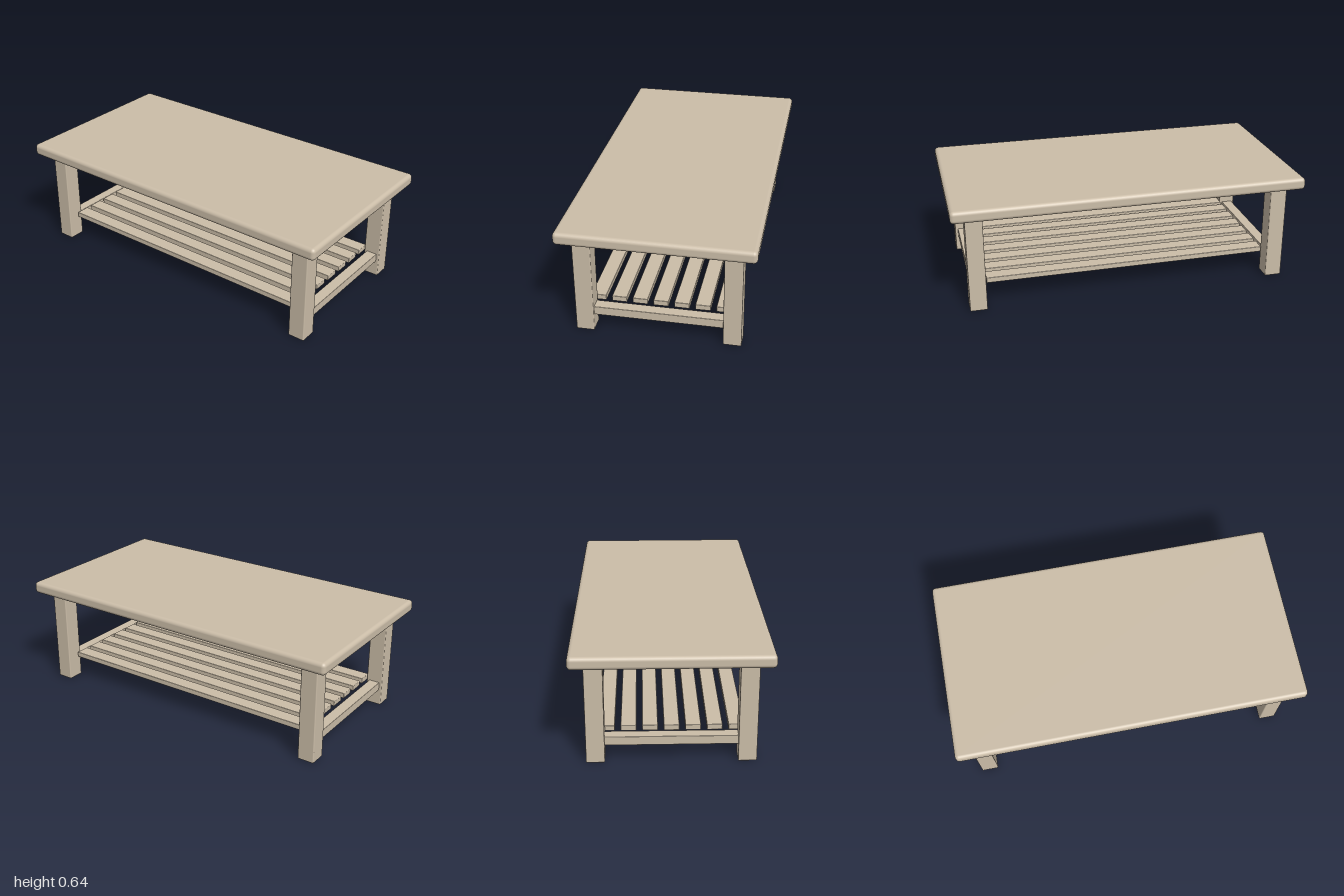
import * as THREE from 'three';
import { RoundedBoxGeometry } from 'three/addons/geometries/RoundedBoxGeometry.js';

export function createModel() {
  const group = new THREE.Group();
  const wood = new THREE.MeshStandardMaterial({ color: 0xcbbda8 });
  wood.name = 'pale wood';

  // Board with softened edges, given by its size and centre
  function board(name, w, h, d, x, y, z, radius, segments = 2) {
    const mesh = new THREE.Mesh(new RoundedBoxGeometry(w, h, d, segments, radius), wood);
    mesh.name = name;
    mesh.position.set(x, y, z);
    group.add(mesh);
  }

  // Table top
  board('tableTop', 2, 0.07, 1.05, 0, 0.601, 0, 0.022, 4);

  for (const [side, sx] of [['left', 1], ['right', -1]]) {
    // Legs
    board(side + 'FrontLeg', 0.097, 0.567, 0.099, sx * 0.873, 0.2835, 0.4, 0.006);
    board(side + 'BackLeg', 0.097, 0.567, 0.099, sx * 0.873, 0.2835, -0.4, 0.006);
    // Rail joining the front and back legs
    board(side + 'Rail', 0.064, 0.05, 0.72, sx * 0.873, 0.119, 0, 0.003);
  }

  // Shelf slats
  for (let i = -3; i <= 3; i++) {
    board('shelfSlat' + (i + 4), 1.632, 0.032, 0.083, 0, 0.147, 0.003 + i * 0.1145, 0.004);
  }

  return group;
}
